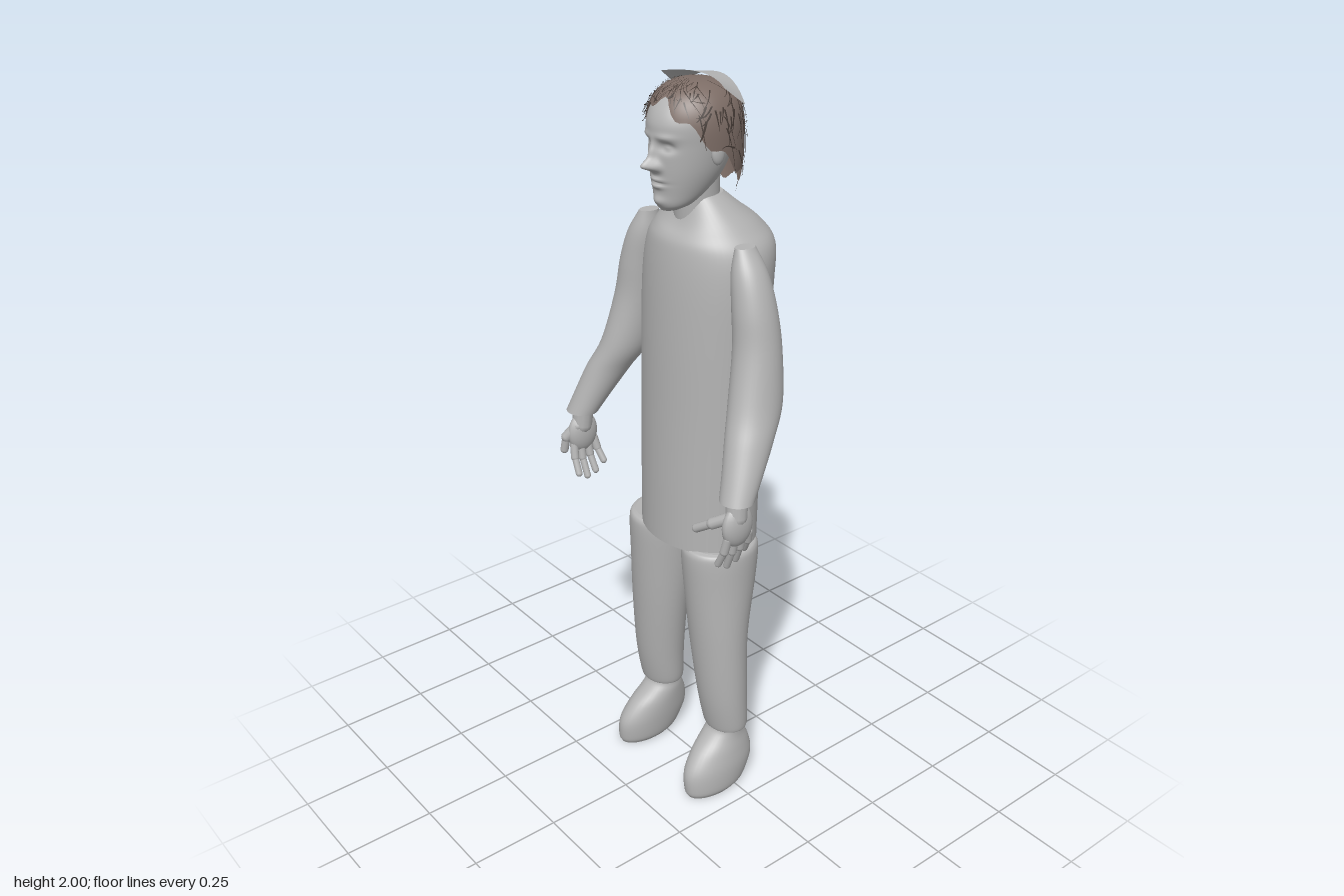
import * as THREE from 'three';
import { mergeGeometries } from 'three/addons/utils/BufferGeometryUtils.js';

const body = new THREE.MeshStandardMaterial({ color: 0xb4b4b4 });
body.name = 'light grey';
const hairBase = new THREE.MeshStandardMaterial({ color: 0x7d6d66, side: THREE.DoubleSide });
hairBase.name = 'brown hair';
const hairDark = new THREE.MeshStandardMaterial({ color: 0x443a35, side: THREE.DoubleSide });
hairDark.name = 'dark hair strands';
const bandMat = new THREE.MeshStandardMaterial({ color: 0xb4b4b4, side: THREE.DoubleSide });
bandMat.name = 'grey band';

function mesh(name, geo, mat = body) {
  const m = new THREE.Mesh(geo, mat);
  m.name = name;
  return m;
}

// Closed smooth loft through horizontal ellipses [x, y, z, rx, rz], bottom to top
function loft(sections, { rows = 28, segs = 36, side = 1, warp = null } = {}) {
  const centre = new THREE.CatmullRomCurve3(sections.map(s => new THREE.Vector3(s[0] * side, s[1], s[2])), false, 'catmullrom');
  const radii = new THREE.CatmullRomCurve3(sections.map(s => new THREE.Vector3(s[3], s[4], 0)), false, 'catmullrom');
  const pos = [], idx = [];
  for (let i = 0; i <= rows; i++) {
    const c = centre.getPoint(i / rows), r = radii.getPoint(i / rows);
    for (let j = 0; j < segs; j++) {
      const a = j / segs * Math.PI * 2;
      const p = new THREE.Vector3(c.x + r.x * Math.sin(a), c.y, c.z + r.y * Math.cos(a));
      if (warp) warp(p, a);
      pos.push(p.x, p.y, p.z);
      if (i < rows) {
        const k = (j + 1) % segs, n = i * segs;
        idx.push(n + j, n + k, n + segs + j, n + k, n + segs + k, n + segs + j);
      }
    }
  }
  // End caps use their own corners so the rims stay crisp
  for (const top of [false, true]) {
    const ring = top ? rows * segs : 0, start = pos.length / 3;
    const c = new THREE.Vector3();
    for (let j = 0; j < segs; j++) {
      const p = new THREE.Vector3().fromArray(pos, (ring + j) * 3);
      pos.push(p.x, p.y, p.z);
      c.addScaledVector(p, 1 / segs);
    }
    pos.push(c.x, c.y, c.z);
    for (let j = 0; j < segs; j++) {
      const k = (j + 1) % segs;
      idx.push(start + segs, start + (top ? j : k), start + (top ? k : j));
    }
  }
  return surface(pos, idx);
}

function surface(pos, idx) {
  const g = new THREE.BufferGeometry();
  g.setAttribute('position', new THREE.Float32BufferAttribute(pos, 3));
  g.setIndex(idx);
  g.computeVertexNormals();
  return g;
}

// Rounded rod between two points
function rod(a, b, r) {
  const p = new THREE.Vector3(...a), q = new THREE.Vector3(...b), d = q.clone().sub(p);
  const g = new THREE.CapsuleGeometry(r, d.length(), 5, 12);
  g.applyQuaternion(new THREE.Quaternion().setFromUnitVectors(new THREE.Vector3(0, 1, 0), d.normalize()));
  return g.translate((p.x + q.x) / 2, (p.y + q.y) / 2, (p.z + q.z) / 2);
}

// Facial relief: [x offset, y, push along z, width, height]
const FACE = [
  [0, 1.808, 0.036, 0.014, 0.014], [0, 1.835, 0.016, 0.010, 0.024],
  [-0.015, 1.803, 0.010, 0.009, 0.009], [0.015, 1.803, 0.010, 0.009, 0.009],
  [-0.034, 1.851, -0.014, 0.017, 0.011], [0.034, 1.851, -0.014, 0.017, 0.011],
  [-0.034, 1.850, 0.008, 0.009, 0.006], [0.034, 1.850, 0.008, 0.009, 0.006],
  [-0.034, 1.874, 0.005, 0.025, 0.008], [0.034, 1.874, 0.005, 0.025, 0.008],
  [0, 1.771, 0.009, 0.020, 0.006], [0, 1.756, 0.009, 0.018, 0.006],
  [0, 1.764, -0.006, 0.026, 0.004], [0, 1.718, 0.008, 0.022, 0.012]
];
function faceWarp(p, a) {
  if (Math.cos(a) <= 0) return;
  const { x, y } = p;
  for (const [fx, fy, push, w, h] of FACE)
    p.z += push * Math.exp(-(((x - 0.02 - fx) / w) ** 2) - ((y - fy) / h) ** 2);
}

// Point on the hair shell: angle a from the front, t from crown (0) to hairline (1)
function hairPoint(a, t, lift = 0) {
  const back = (1 - Math.cos(a)) / 2;
  const line = 1.955 - 0.215 * Math.pow(back, 0.75) + 0.012 * Math.sin(a * 9);
  const s = Math.sin(Math.min(t, 1) * Math.PI / 2);
  const y = 1.992 - (1.992 - line) * (1 - Math.cos(t * Math.PI / 2)) / 1;
  const h = Math.abs(y - 1.87) / (y > 1.87 ? 0.122 : 0.23);
  const full = Math.pow(Math.max(0, 1 - Math.pow(h, 2.5)), 0.4);
  const r = (t < 0.02 ? s : full) + lift;
  return [0.02 + 0.112 * r * Math.sin(a), Math.min(y + lift * 0.05, 1.998), 0.012 + 0.122 * r * Math.cos(a)];
}

function hairShell() {
  const pos = [], idx = [], rows = 16, segs = 60;
  for (let i = 0; i <= rows; i++)
    for (let j = 0; j <= segs; j++) {
      pos.push(...hairPoint(j / segs * Math.PI * 2, i / rows));
      if (i < rows && j < segs) {
        const n = i * (segs + 1) + j, m = n + segs + 1;
        idx.push(n, m, n + 1, n + 1, m, m + 1);
      }
    }
  return surface(pos, idx);
}

// Thin ribbons scattered over the shell, some poking past the hairline
function hairStrands() {
  let seed = 7;
  const rnd = () => (seed = (seed * 16807) % 2147483647) / 2147483647;
  const pos = [], idx = [];
  for (let n = 0; n < 210; n++) {
    const a0 = rnd() * Math.PI * 2, t0 = 0.1 + rnd() * 0.75;
    const da = (rnd() - 0.5) * 0.8, dt = 0.12 + rnd() * 0.25, flick = rnd() * 0.05;
    for (let k = 0; k <= 4; k++) {
      const f = k / 4, w = 0.022 * (1 - f * 0.8);
      const a = a0 + da * f, t = Math.min(t0 + dt * f, 1.08), lift = 0.02 + flick * f;
      pos.push(...hairPoint(a - w, t, lift), ...hairPoint(a + w, t, lift));
      if (k < 4) {
        const b = n * 10 + k * 2;
        idx.push(b, b + 2, b + 1, b + 1, b + 2, b + 3);
      }
    }
  }
  return surface(pos, idx);
}

// Curved band over the back of the crown
function crownBand() {
  const pos = [], idx = [], n = 24;
  for (let i = 0; i <= n; i++) {
    const u = i / n * 2 - 1, e = u * u;
    pos.push(0.02 + 0.117 * u, 2 - 0.012 * e, -0.005 + 0.026 * e);
    pos.push(0.02 + 0.125 * u, 1.994 - 0.05 * e, -0.06 + 0.025 * e);
    if (i < n) idx.push(i * 2, i * 2 + 2, i * 2 + 1, i * 2 + 1, i * 2 + 2, i * 2 + 3);
  }
  return surface(pos, idx);
}

function hand(side) {
  const m = p => [p[0] * side, p[1], p[2]];
  const parts = [rod(m([0.325, 1.05, 0.125]), m([0.328, 1.0, 0.13]), 0.028)];
  const palm = new THREE.SphereGeometry(1, 20, 14).scale(0.024, 0.058, 0.046);
  parts.push(palm.translate(0.33 * side, 0.975, 0.128));
  // Four fingers, front to back
  for (let i = 0; i < 4; i++) {
    const z = 0.158 - i * 0.022, drop = [0.015, 0, 0.008, 0.03][i];
    const knuckle = m([0.33, 0.945, z]), mid = m([0.322, 0.9 + drop * 0.5, z + 0.004 - i * 0.003]);
    parts.push(rod(knuckle, mid, 0.0115), rod(mid, m([0.302, 0.85 + drop, z + 0.006 - i * 0.006]), 0.0095));
  }
  // The left thumb reaches inwards, the right one hangs forwards
  const joint = side > 0 ? [0.285, 0.975, 0.17] : [0.345, 0.965, 0.172];
  const tip = side > 0 ? [0.238, 0.945, 0.182] : [0.352, 0.925, 0.176];
  parts.push(rod(m([0.325, 1.0, 0.148]), m(joint), 0.015), rod(m(joint), m(tip), 0.0115));
  return mergeGeometries(parts);
}

export function createModel() {
  const g = new THREE.Group();
  g.name = 'figure';

  // Long tunic, with the collar dipping at the front
  g.add(mesh('torso', loft([
    [0.005, 0.78, -0.015, 0.18, 0.137], [0.005, 0.95, -0.018, 0.181, 0.138], [0.006, 1.15, -0.024, 0.183, 0.141],
    [0.008, 1.35, -0.03, 0.185, 0.145], [0.01, 1.5, -0.038, 0.186, 0.148], [0.012, 1.59, -0.045, 0.175, 0.147],
    [0.014, 1.64, -0.035, 0.14, 0.125], [0.018, 1.685, -0.014, 0.095, 0.088], [0.02, 1.72, 0, 0.058, 0.06]
  ], {
    rows: 48, segs: 56,
    warp: (p, a) => {
      const top = THREE.MathUtils.smoothstep(p.y, 1.6, 1.72);
      p.y -= 0.05 * top * Math.pow(Math.max(0, Math.cos(a)), 3);
    }
  })));

  // Head
  g.add(mesh('neck', loft([[0.02, 1.6, 0, 0.055, 0.058], [0.02, 1.7, 0.008, 0.054, 0.06], [0.02, 1.78, 0.012, 0.056, 0.065]])));
  g.add(mesh('head', loft([
    [0.02, 1.693, 0.085, 0.02, 0.026], [0.02, 1.708, 0.072, 0.043, 0.048], [0.02, 1.74, 0.05, 0.061, 0.076],
    [0.02, 1.79, 0.032, 0.078, 0.1], [0.02, 1.85, 0.022, 0.088, 0.113], [0.02, 1.905, 0.02, 0.091, 0.116],
    [0.02, 1.95, 0.014, 0.078, 0.095], [0.02, 1.98, 0.012, 0.035, 0.042]
  ], { rows: 90, segs: 120, warp: faceWarp })));
  for (const s of [-1, 1]) {
    const ear = new THREE.SphereGeometry(1, 16, 12).scale(0.011, 0.031, 0.019);
    g.add(mesh(s > 0 ? 'leftEar' : 'rightEar', ear.translate(0.02 + 0.09 * s, 1.835, 0.015)));
  }
  g.add(mesh('hair', hairShell(), hairBase));
  g.add(mesh('hairStrands', hairStrands(), hairDark));
  g.add(mesh('crownBand', crownBand(), bandMat));

  for (const side of [1, -1]) {
    const n = side > 0 ? 'left' : 'right';
    const o = side > 0 ? 0 : 0.01;
    // Sleeve, bent at the elbow
    g.add(mesh(n + 'Arm', loft([
      [0.322 + o, 1.04, 0.124, 0.045, 0.043], [0.306 + o, 1.1, 0.092, 0.05, 0.053], [0.285 + o, 1.17, 0.055, 0.056, 0.065],
      [0.262, 1.25, 0.018, 0.06, 0.073], [0.24, 1.38, -0.004, 0.058, 0.063], [0.224, 1.48, -0.006, 0.053, 0.057],
      [0.205, 1.56, -0.006, 0.043, 0.047], [0.187, 1.622, -0.006, 0.02, 0.028]
    ], { rows: 40, side })));
    g.add(mesh(n + 'Hand', hand(side)));
    // Trouser leg
    g.add(mesh(n + 'Leg', loft([
      [0.142 + o, 0.195, -0.004, 0.06, 0.05], [0.14 + o, 0.212, -0.003, 0.069, 0.058], [0.136 + o, 0.32, 0.007, 0.076, 0.067],
      [0.124 + o, 0.5, 0.012, 0.086, 0.078], [0.114 + o, 0.66, 0.002, 0.094, 0.099], [0.11 + o, 0.75, -0.002, 0.097, 0.108],
      [0.11 + o, 0.778, -0.002, 0.092, 0.104], [0.11 + o, 0.785, -0.002, 0.08, 0.09]
    ], { rows: 42, side })));
    // Foot
    g.add(mesh(n + 'Foot', loft([
      [0.153 + o, 0, 0.05, 0.044, 0.088], [0.152 + o, 0.02, 0.044, 0.054, 0.102], [0.148 + o, 0.075, 0.03, 0.058, 0.114],
      [0.142 + o, 0.125, 0.016, 0.056, 0.095], [0.137 + o, 0.165, 0.002, 0.052, 0.064], [0.138 + o, 0.19, -0.004, 0.05, 0.047],
      [0.14 + o, 0.215, -0.004, 0.055, 0.048]
    ], { side })));
  }
  return g;
}
